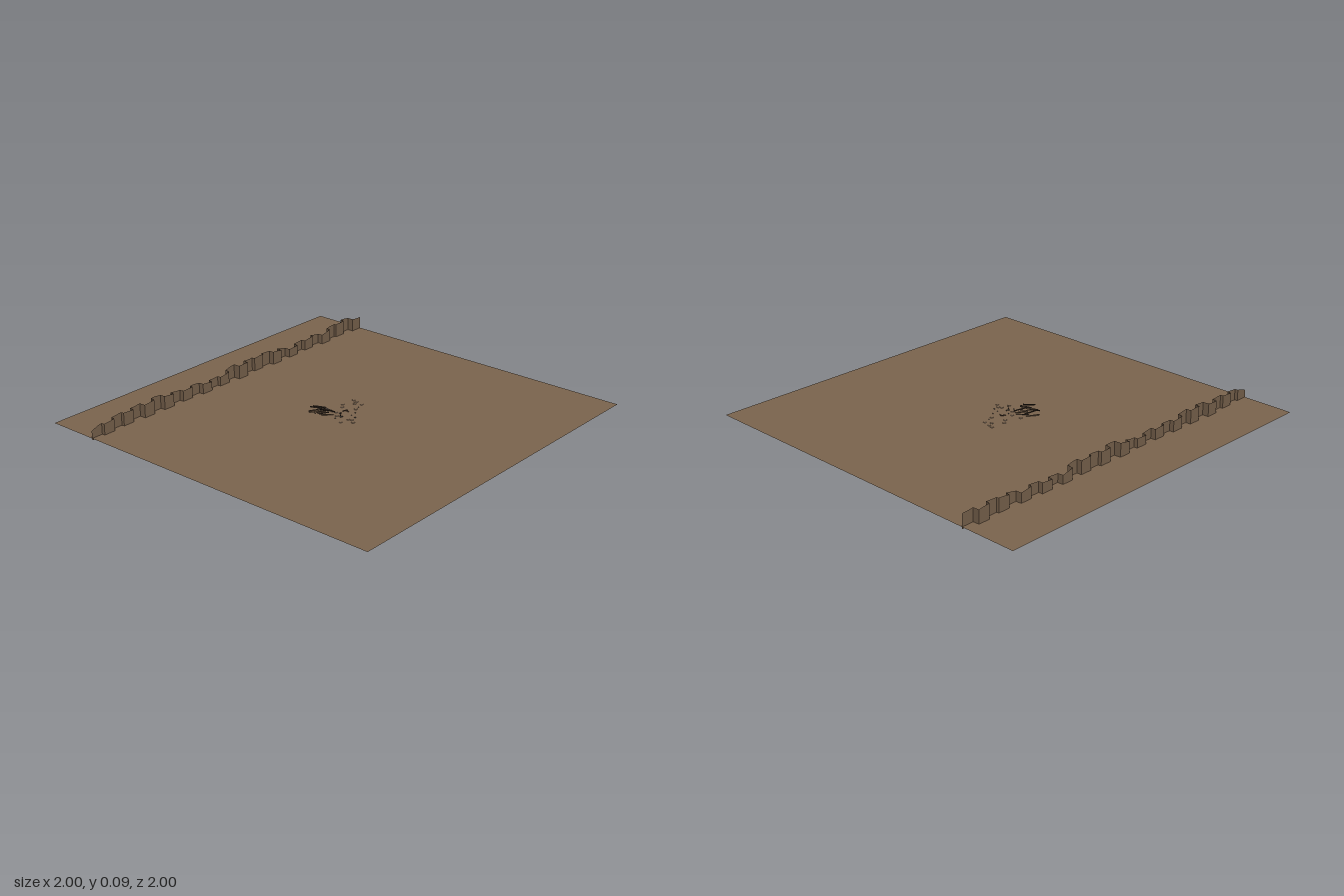
import * as THREE from 'three';

const mat = (name, color, side = THREE.FrontSide) => {
  const m = new THREE.MeshStandardMaterial({ color, side, flatShading: true });
  m.name = name;
  return m;
};

export function createModel() {
  const group = new THREE.Group();
  const GROUND = 0.01;
  const soil = mat('soil', 0x79634d, THREE.DoubleSide);
  const earth = mat('earth bank', 0x705b47, THREE.DoubleSide);
  const wood = mat('weathered wood', 0x5a4735);
  const darkWood = mat('dark wood', 0x3a2d22);
  const stone = mat('stone', 0x4a443c);

  // Small seeded generator for irregular placement
  let seed = 11;
  const rand = () => {
    seed = (seed * 16807) % 2147483647;
    return seed / 2147483647;
  };

  const add = (parent, name, geometry, material, x = 0, y = 0, z = 0) => {
    const m = new THREE.Mesh(geometry, material);
    m.name = name;
    m.position.set(x, y, z);
    parent.add(m);
    return m;
  };

  // Rectangular beam running between two points
  const beam = (parent, name, a, b, w, t, material) => {
    const p = new THREE.Vector3(...a), q = new THREE.Vector3(...b);
    const m = add(parent, name, new THREE.BoxGeometry(w, t, p.distanceTo(q)), material);
    m.position.copy(p).add(q).multiplyScalar(0.5);
    m.lookAt(q);
    return m;
  };

  // Flat ground sheet
  add(group, 'ground', new THREE.PlaneGeometry(2, 2).rotateX(-Math.PI / 2), soil, 0, GROUND, 0);

  // Earth bank: a folded upright sheet with stepped panels and a rolling crest
  const crest = [
    [-1, 0.05], [-0.95, 0.068], [-0.8, 0.08], [-0.72, 0.075], [-0.58, 0.088], [-0.5, 0.08],
    [-0.42, 0.068], [-0.3, 0.07], [-0.2, 0.058], [-0.1, 0.062], [-0.02, 0.083], [0.05, 0.086],
    [0.1, 0.08], [0.18, 0.087], [0.3, 0.08], [0.4, 0.057], [0.5, 0.063], [0.6, 0.073],
    [0.66, 0.062], [0.76, 0.082], [0.88, 0.088], [0.95, 0.078], [1, 0.075],
  ];
  const crestAt = (x) => {
    const i = Math.max(1, crest.findIndex((c) => c[0] >= x));
    const [a, b] = [crest[i - 1], crest[i]];
    return THREE.MathUtils.lerp(a[1], b[1], (x - a[0]) / (b[0] - a[0]));
  };
  const PANELS = 30, steps = [0, 0.33, 0.67, 0.97];
  const offsets = Array.from({ length: PANELS }, (_, i) =>
    -0.7165 + (i % 2 ? 1 : -1) * (0.004 + 0.02 * rand()));
  const bank = new THREE.PlaneGeometry(2, 1, PANELS * 4 - 1, 1);
  const pos = bank.attributes.position;
  for (let i = 0; i < pos.count; i++) {
    const col = i % (PANELS * 4), panel = Math.floor(col / 4);
    const x = col === PANELS * 4 - 1 ? 1 : -1 + (2 * (panel + steps[col % 4])) / PANELS;
    pos.setXYZ(i, x, pos.getY(i) > 0 ? crestAt(x) : 0, offsets[panel]);
  }
  bank.computeVertexNormals();
  add(group, 'earthBank', bank, earth);

  // Ruined lean-to: high on its right side, falling to the ground on its left
  const shelter = new THREE.Group();
  shelter.name = 'shelter';
  shelter.position.set(-0.058, GROUND, -0.07);
  shelter.rotation.y = 0.16;
  group.add(shelter);
  for (const s of [-1, 1]) {
    beam(shelter, 'post', [-0.034, -0.003, s * 0.036], [-0.022, 0.045, s * 0.026], 0.005, 0.005, darkWood);
    beam(shelter, 'rafter', [-0.024, 0.044, s * 0.027], [0.036, 0.001, s * 0.036], 0.005, 0.005, darkWood);
    beam(shelter, 'groundRail', [-0.034, 0.002, s * 0.038], [0.034, 0.002, s * 0.034], 0.005, 0.005, wood);
  }
  beam(shelter, 'ridgeBeam', [-0.023, 0.045, -0.032], [-0.023, 0.045, 0.032], 0.005, 0.005, darkWood);
  beam(shelter, 'brokenPole', [-0.03, 0, 0.02], [-0.018, 0.057, 0.026], 0.003, 0.003, darkWood);
  beam(shelter, 'brace', [-0.032, 0.003, -0.034], [-0.024, 0.042, 0.02], 0.004, 0.004, wood);
  for (let i = 0; i < 5; i++) {
    const t = 0.12 + i * 0.19, half = 0.029 + 0.008 * t;
    const x = -0.024 + 0.06 * t, y = 0.047 - 0.043 * t;
    const slat = beam(shelter, 'roofSlat', [x, y, -half + 0.008 * rand()], [x + 0.004, y, half - 0.008 * rand()],
      0.008, 0.002, i % 2 ? wood : darkWood);
    slat.rotateZ(0.62);
  }
  for (let i = 0; i < 3; i++) {
    const z = -0.022 + i * 0.02;
    beam(shelter, 'wallPlank', [-0.035, 0, z], [-0.026, 0.03 + 0.012 * rand(), z + 0.003], 0.004, 0.009, wood);
  }

  // Loose boards beside the shelter
  beam(group, 'looseBoard', [0.028, 0.013, -0.006], [0.052, 0.014, 0.006], 0.007, 0.003, darkWood);
  beam(group, 'looseBoard', [0.046, 0.012, 0.004], [0.04, 0.013, 0.022], 0.004, 0.003, wood);
  beam(group, 'leaningStake', [-0.03, 0.009, 0.028], [-0.026, 0.036, 0.03], 0.003, 0.003, darkWood);

  // Stones and splinters
  const pebble = new THREE.IcosahedronGeometry(1, 0);
  [[-0.03, 0.03, 6], [-0.02, 0.034, 4], [0.01, 0.09, 5], [0.055, 0.055, 4], [0.12, 0.02, 3],
    [-0.06, 0.02, 4], [0.0, 0.0, 4], [0.145, -0.03, 3], [0.02, 0.06, 3]].forEach(([x, z, r]) => {
    const m = add(group, 'stone', pebble, stone, x, GROUND + r * 0.0003, z);
    m.scale.set(r * 0.001, r * 0.0007, r * 0.0009);
    m.rotation.y = rand() * 6;
  });

  // Thin dried-mud patches, nearly flush with the ground
  for (let i = 0; i < 14; i++) {
    const a = rand() * Math.PI * 2, d = 0.05 + rand() * 0.1;
    const m = add(group, 'mudPatch', new THREE.CylinderGeometry(0.008, 0.01, 0.002, 6), soil,
      0.04 + Math.cos(a) * d, GROUND + 0.001, 0.01 + Math.sin(a) * d);
    m.rotation.y = a;
  }
  return group;
}
